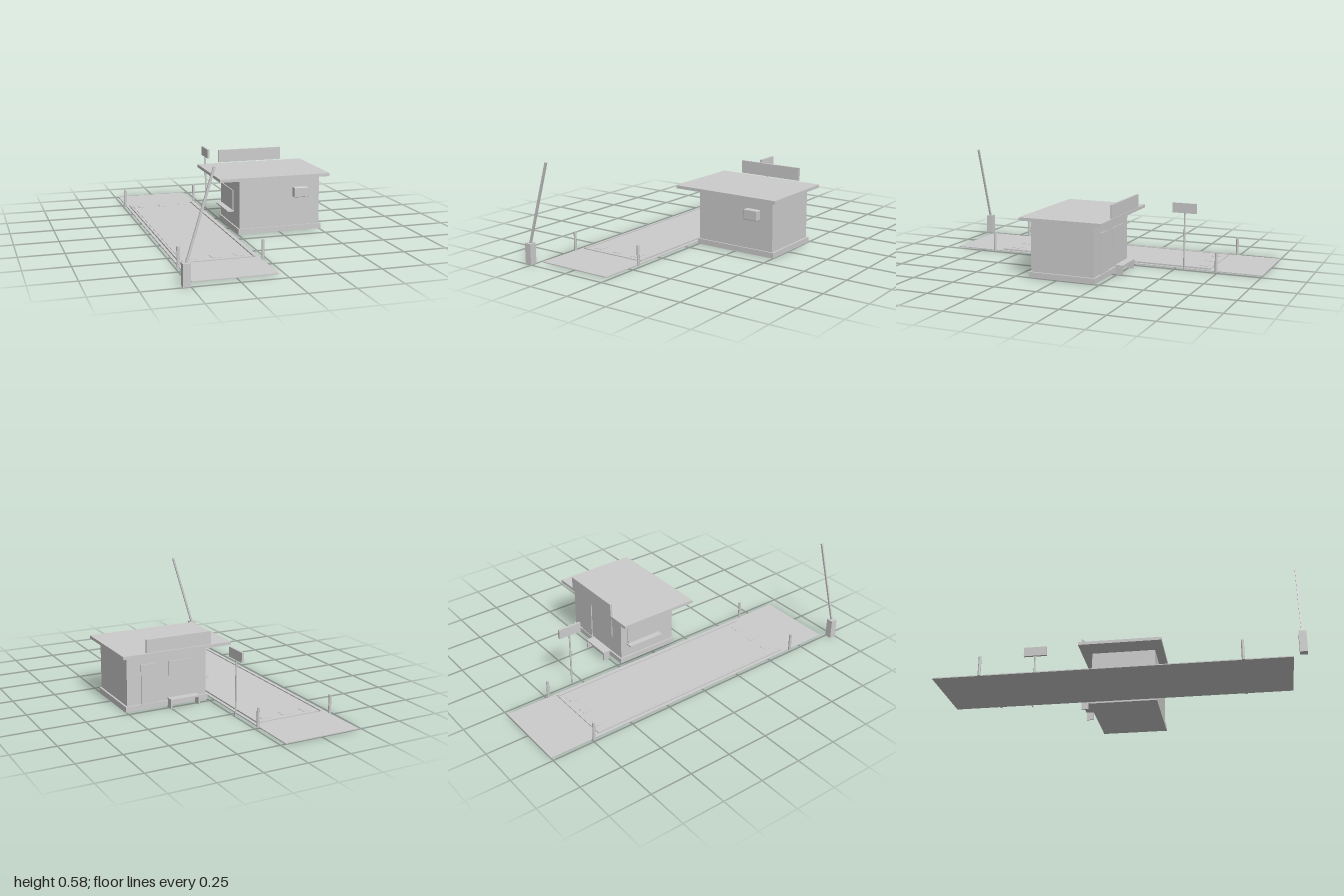
import * as THREE from 'three';
import { RoundedBoxGeometry } from 'three/addons/geometries/RoundedBoxGeometry.js';

export function createModel() {
  const model = new THREE.Group();
  model.name = 'weighStation';
  const grey = new THREE.MeshStandardMaterial({ color: 0xcccccc });
  grey.name = 'light grey';

  const add = (parent, name, geometry, x, y, z) => {
    const mesh = new THREE.Mesh(geometry, grey);
    mesh.name = name;
    mesh.position.set(x, y, z);
    parent.add(mesh);
    return mesh;
  };
  // Box given by its limits on each axis
  const box = (parent, name, [x0, x1], [y0, y1], [z0, z1]) =>
    add(parent, name, new THREE.BoxGeometry(x1 - x0, y1 - y0, z1 - z0),
      (x0 + x1) / 2, (y0 + y1) / 2, (z0 + z1) / 2);
  const group = (name) => {
    const g = new THREE.Group();
    g.name = name;
    model.add(g);
    return g;
  };

  // Road slab with the raised weighing deck, kerb rails and sensor plates
  const bridge = group('weighbridge');
  box(bridge, 'roadSlab', [-0.48, -0.03], [0, 0.005], [-1, 0.93]);
  box(bridge, 'weighingDeck', [-0.445, -0.066], [0.004, 0.01], [-0.695, 0.625]);
  for (const x of [-0.456, -0.055])
    box(bridge, 'kerbRail', [x - 0.007, x + 0.007], [0.004, 0.013], [-0.695, 0.625]);
  for (const z of [-0.64, 0.568])
    for (const x of [-0.386, -0.255, -0.124])
      box(bridge, 'sensorPlate', [x - 0.027, x + 0.027], [0.009, 0.012], [z - 0.027, z + 0.027]);

  // Guard posts at the four deck corners
  for (const x of [-0.483, -0.027])
    for (const z of [-0.737, 0.672])
      add(bridge, 'guardPost', new THREE.CylinderGeometry(0.008, 0.008, 0.112, 16), x, 0.056, z);

  // Raised barrier arm on its cabinet
  const barrier = group('barrier');
  box(barrier, 'barrierCabinet', [-0.54, -0.5], [0, 0.117], [0.96, 1]);
  const from = new THREE.Vector2(-0.518, 0.113), to = new THREE.Vector2(-0.377, 0.574);
  const arm = add(barrier, 'barrierArm',
    new THREE.BoxGeometry(0.012, from.distanceTo(to), 0.01),
    (from.x + to.x) / 2, (from.y + to.y) / 2, 0.98);
  arm.rotation.z = -Math.atan2(to.x - from.x, to.y - from.y);

  // Office: plinth, walls and overhanging roof
  const office = group('office');
  box(office, 'plinth', [0, 0.505], [0.003, 0.034], [-0.225, 0.165]);
  box(office, 'walls', [0.008, 0.494], [0.034, 0.322], [-0.215, 0.157]);
  box(office, 'roof', [-0.122, 0.538], [0.322, 0.34], [-0.276, 0.208]);
  box(office, 'roofBoard', [0.01, 0.405], [0.345, 0.42], [-0.283, -0.27]);

  // Back door and window
  box(office, 'door', [0.308, 0.41], [0.034, 0.262], [-0.221, -0.214]);
  box(office, 'backWindow', [0.095, 0.24], [0.135, 0.26], [-0.22, -0.214]);

  // Service window and its ledge, facing the weighing deck
  box(office, 'serviceWindow', [0.002, 0.009], [0.12, 0.237], [-0.168, 0.045]);
  box(office, 'serviceLedge', [-0.033, 0.008], [0.112, 0.12], [-0.175, 0.052]);

  // Air conditioner on the front wall
  add(office, 'airConditioner', new RoundedBoxGeometry(0.087, 0.058, 0.038, 2, 0.004), 0.372, 0.234, 0.175);

  // Bench behind the office
  const bench = group('bench');
  box(bench, 'benchSeat', [0.083, 0.262], [0.05, 0.059], [-0.29, -0.245]);
  for (const x of [0.087, 0.258])
    box(bench, 'benchLeg', [x - 0.004, x + 0.004], [0.004, 0.05], [-0.288, -0.247]);

  // Display board on a pole
  const display = group('display');
  add(display, 'displayPole', new THREE.CylinderGeometry(0.005, 0.005, 0.325, 12), 0.007, 0.1675, -0.56);
  box(display, 'displayBoard', [0, 0.014], [0.33, 0.386], [-0.628, -0.49]);

  return model;
}
